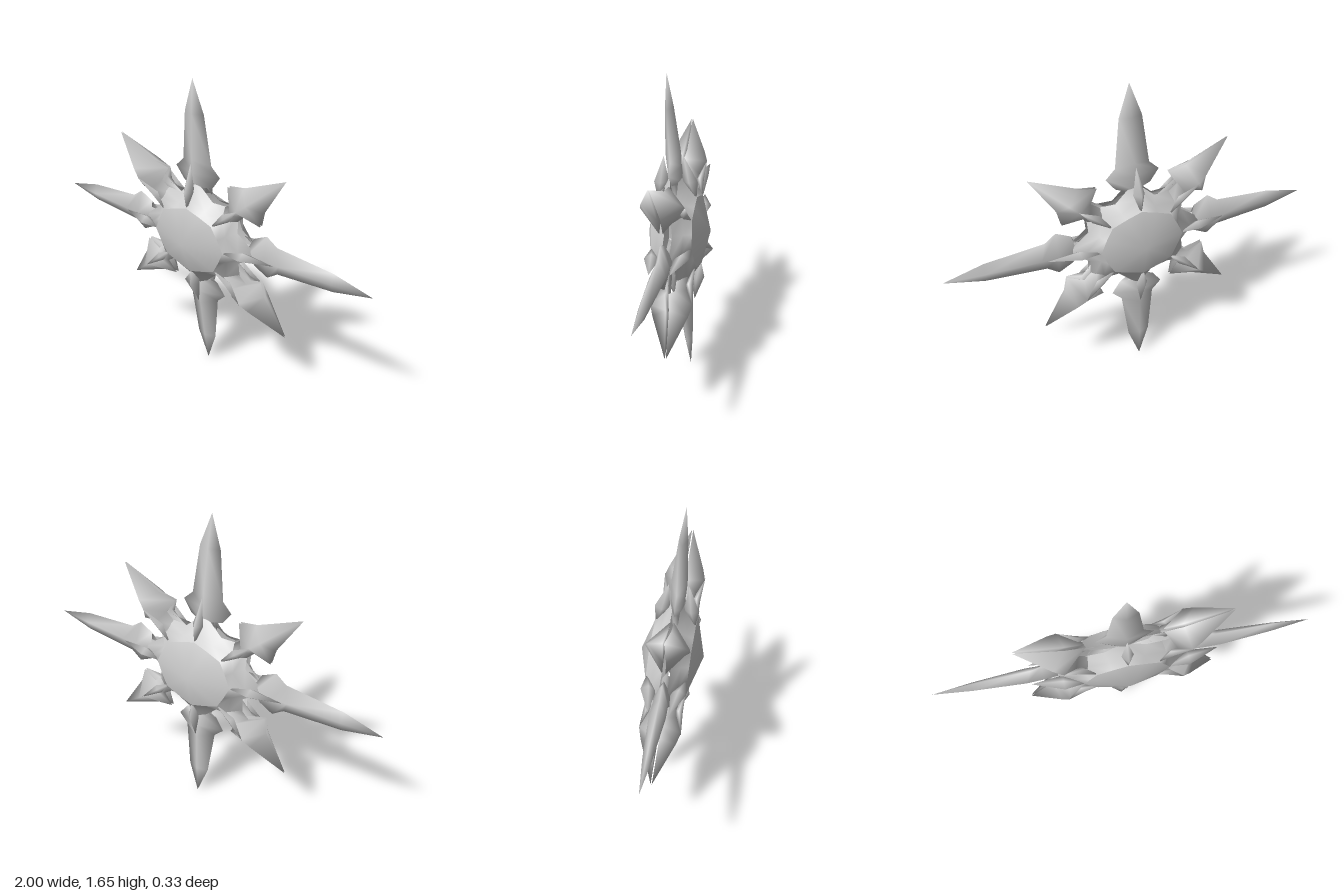
import * as THREE from 'three';
import { mergeVertices } from 'three/addons/utils/BufferGeometryUtils.js';

const material = new THREE.MeshStandardMaterial({ color: 0xcccccc, side: THREE.DoubleSide });

// Smooth skin over a list of rings that all have the same number of points
function loft(name, rings) {
  const n = rings[0].length;
  const index = [];
  for (let i = 0; i < rings.length - 1; i++) {
    for (let j = 0; j < n; j++) {
      const k = (j + 1) % n;
      const a = i * n + j, b = i * n + k, d = a + n, c = b + n;
      index.push(a, d, c, a, c, b);
    }
  }
  let geometry = new THREE.BufferGeometry();
  geometry.setAttribute('position', new THREE.Float32BufferAttribute(rings.flat(2), 3));
  geometry.setIndex(index);
  geometry = mergeVertices(geometry);
  geometry.computeVertexNormals();
  const mesh = new THREE.Mesh(geometry, material);
  mesh.name = name;
  return mesh;
}

// Four-sided blade along +y; section: edge y, half width, ridge y, front z, edge z, back z
function blade(name, sections) {
  return loft(name, sections.map(([ye, w, yr, front, edge, back]) =>
    [[w, ye, edge], [0, yr, front], [-w, ye, edge], [0, yr, back]]));
}

// Eight-cornered ring: corner radius, radius between corners, height
function starRing([corner, between, z]) {
  return Array.from({ length: 16 }, (_, i) => {
    const r = i % 2 ? between : corner;
    const a = (i * Math.PI) / 8;
    return [r * Math.cos(a) * 1.095, r * Math.sin(a) * 0.905, z];
  });
}

function longArm() {
  const profile = [
    [0.2, 0.03, 0.2, 0.02], [0.33, 0.045, 0.28, 0.028], [0.314, 0.087, 0.3, 0.032],
    [0.385, 0.13, 0.39, 0.038], [0.44, 0.083, 0.47, 0.04], [0.725, 0.055, 0.725, 0.022],
    [0.912, 0, 0.912, 0],
  ];
  return blade('longArm', profile.map(([ye, w, yr, t]) => [ye, w, yr, t, 0, -t]));
}

// Half of a short arm; the front and back halves meet along the edges and the tip
function shortArm() {
  return blade('shortArm', [
    [0.24, 0.05, 0.24, 0.07, 0.025, 0.025],
    [0.345, 0.043, 0.33, 0.075, 0.02, 0.02],
    [0.375, 0.125, 0.41, 0.108, 0.008, 0.012],
    [0.449, 0.075, 0.47, 0.09, 0.008, 0.008],
    [0.684, 0, 0.684, 0.003, 0.003, 0.003],
  ]);
}

// Slim spike from the dome rim; mid holds half width, front z and back z
function thorn([halfWidth, front, back], end, endZ) {
  return blade('thorn', [
    [0.19, 0, 0.19, 0.1, 0.1, 0.1],
    [0.3, halfWidth, 0.3, front, (front + back) / 2, back],
    [end, 0, end, endZ, endZ, endZ],
  ]);
}

// Turns a part built along +y and widens the star sideways
function place(part, angle) {
  const spoke = new THREE.Group();
  spoke.name = part.name + 'Spoke';
  part.rotation.z = angle;
  spoke.scale.set(1.095, 0.905, 1);
  spoke.add(part);
  return spoke;
}

// One face of the star: dome, collar, thorns and short arms
function createFace(name) {
  const face = new THREE.Group();
  face.name = name;
  const rim = [0.205, 0.192, 0.104];
  face.add(loft('dome', [[0, 0, 0.163], rim].map(starRing)));
  face.add(loft('collar', [rim, [0.265, 0.212, 0.065], [0.345, 0.255, 0.02]].map(starRing)));
  for (let i = 0; i < 8; i++) {
    const diagonal = i % 2 === 1;
    const parts = diagonal
      ? [thorn([0.024, 0.1, 0.06], 0.42, 0.108), shortArm()]
      : [thorn([0.028, 0.112, 0.035], 0.45, 0.05)];
    for (const part of parts) face.add(place(part, (i * Math.PI) / 4));
  }
  return face;
}

export function createModel() {
  const star = new THREE.Group();
  star.name = 'leaningStar';

  const front = createFace('frontFace');
  const back = createFace('backFace');
  back.rotation.y = Math.PI;
  star.add(front, back);

  // Long arms sit between the two faces
  for (let i = 0; i < 4; i++) star.add(place(longArm(), (i * Math.PI) / 2));

  // Slight forward lean
  star.rotation.x = 0.078;
  star.position.y = 0.825;

  const model = new THREE.Group();
  model.name = 'starOrnament';
  model.add(star);
  return model;
}
